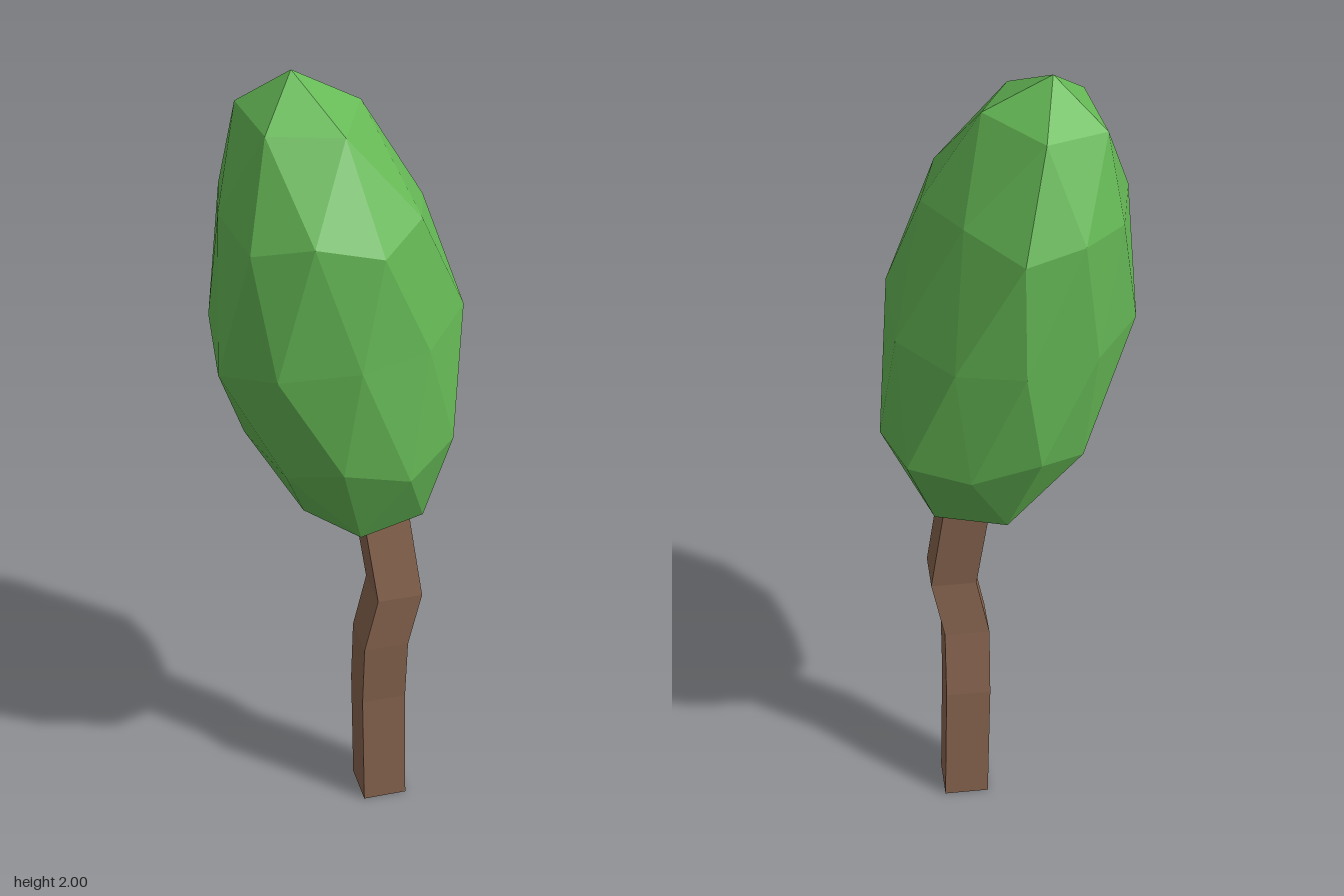
import * as THREE from 'three';

// Square trunk that follows a bent centre line
function createTrunk() {
  const path = [[0.11, 0, 0.005], [0.101, 0.33, 0.013], [0.1, 0.51, 0.032], [0.13, 0.66, 0.041], [0.095, 0.92, 0.015]];
  let geo = new THREE.BoxGeometry(0.11, 1, 0.11, 1, path.length - 1, 1);
  const p = geo.attributes.position;
  for (let i = 0; i < p.count; i++) {
    const [x, y, z] = path[Math.round((p.getY(i) + 0.5) * (path.length - 1))];
    p.setXYZ(i, p.getX(i) + x, y, p.getZ(i) + z);
  }
  geo = geo.toNonIndexed();
  geo.computeVertexNormals();
  const mesh = new THREE.Mesh(geo, new THREE.MeshStandardMaterial({ color: 0x8a6650, flatShading: true }));
  mesh.name = 'trunk';
  return mesh;
}

// Faceted crown: a tall leaning ball with some corners nudged by hand
function createCrown() {
  const corners = [
    [-0.095, 2, -0.025], [0.05, 0.82, 0.035],
    [-0.06, 1.92, -0.185], [0.055, 1.92, -0.018], [-0.02, 1.91, 0.142], [-0.18, 1.91, 0.092], [-0.2, 1.905, -0.11],
    [0.185, 1.7, 0.02], [0.11, 1.72, -0.155], [-0.005, 1.69, -0.28], [-0.137, 1.71, -0.245], [-0.235, 1.7, -0.14],
    [-0.27, 1.71, 0.02], [-0.235, 1.68, 0.175], [-0.115, 1.72, 0.255], [0.035, 1.68, 0.26], [0.14, 1.72, 0.17],
    [0.26, 1.46, 0.105], [0.15, 1.42, 0.22], [-0.018, 1.42, 0.278], [-0.195, 1.4, 0.235], [-0.298, 1.36, 0.105],
    [-0.283, 1.42, -0.06], [-0.18, 1.4, -0.19], [0.14, 1.4, -0.225],
    [0.295, 1.14, -0.035], [0.245, 1.12, -0.16],
  ].map((c) => new THREE.Vector3(...c));

  const geo = new THREE.IcosahedronGeometry(1, 1);
  geo.rotateZ(-Math.atan(2 / (1 + Math.sqrt(5)))); // one corner straight up
  const p = geo.attributes.position;
  const v = new THREE.Vector3();
  for (let i = 0; i < p.count; i++) {
    v.fromBufferAttribute(p, i);
    const h = v.y;
    v.set(v.x * 0.28 - 0.01 - 0.08 * h, 1.41 + 0.59 * h, v.z * 0.28 + 0.005 - 0.02 * h);
    const near = corners.find((c) => c.distanceTo(v) < 0.085);
    if (near) v.copy(near);
    p.setXYZ(i, v.x, v.y, v.z);
  }
  geo.computeVertexNormals();
  const mesh = new THREE.Mesh(geo, new THREE.MeshStandardMaterial({ color: 0x66b956, flatShading: true }));
  mesh.name = 'crown';
  return mesh;
}

export function createModel() {
  const tree = new THREE.Group();
  tree.name = 'tree';
  tree.add(createTrunk(), createCrown());
  return tree;
}
